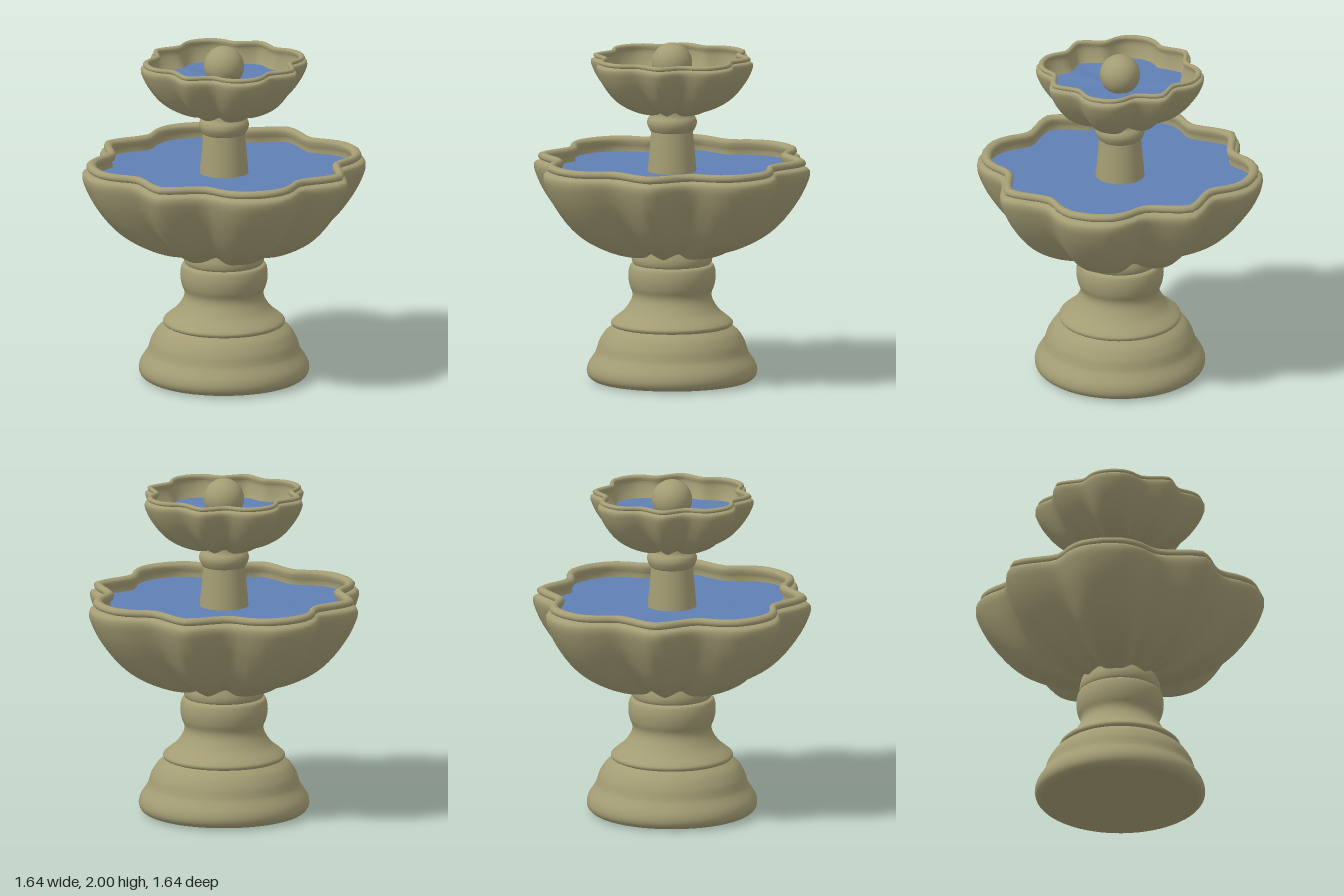
import * as THREE from 'three';

const stone = new THREE.MeshStandardMaterial({ color: 0xa39c74 });
const water = new THREE.MeshStandardMaterial({ color: 0x5f7fb3 });

// Petal outline over one eighth turn: [degrees from axis, radius relative to the axis petal]
const EIGHTH = [[0, 1], [4, 0.975], [8, 0.94], [12, 0.905], [16, 0.88], [20, 0.872], [24, 0.9], [28, 0.95],
  [32, 0.99], [36, 1.018], [40, 1.028], [45, 1.035]];
const OUTLINE = [];
for (let q = 0; q < 4; q++) {
  EIGHTH.forEach(([a, s]) => OUTLINE.push([q * 90 + a, s]));
  EIGHTH.slice(1, -1).reverse().forEach(([a, s]) => OUTLINE.push([q * 90 + 90 - a, s]));
}

function mesh(name, geometry, material = stone) {
  const m = new THREE.Mesh(geometry, material);
  m.name = name;
  return m;
}

// Smooth a few profile points into a denser curve
function smooth(points, n) {
  return new THREE.SplineCurve(points.map(p => new THREE.Vector2(...p))).getPoints(n);
}

// Sweep a profile of (radius, height) round the petal outline
function petalLoft(profile) {
  const pos = [], idx = [], n = OUTLINE.length;
  for (const p of profile) {
    const low = THREE.MathUtils.clamp((1.25 - p.y) / 0.5, 0, 1);
    for (const [deg, s] of OUTLINE) {
      const a = THREE.MathUtils.degToRad(deg);
      const r = p.x * Math.pow(s, 1 + 0.3 * low);
      // grooves rise a little towards the foot of the bowl
      pos.push(Math.sin(a) * r, p.y + 0.22 * low * Math.max(0, 1 - s), Math.cos(a) * r);
    }
  }
  for (let i = 0; i < profile.length - 1; i++) {
    for (let j = 0; j < n; j++) {
      const k = (j + 1) % n, a = i * n + j, b = i * n + k, c = a + n, d = b + n;
      idx.push(a, b, c, b, d, c);
    }
  }
  const g = new THREE.BufferGeometry();
  g.setAttribute('position', new THREE.Float32BufferAttribute(pos, 3));
  g.setIndex(idx);
  g.computeVertexNormals();
  return g;
}

function lathe(name, points, n) {
  return mesh(name, new THREE.LatheGeometry(smooth(points, n), 64));
}

// Scalloped bowl with rim, inner basin and water
function bowl(name, waterRadius, waterHeight) {
  const g = new THREE.Group();
  g.name = name;
  g.add(mesh('bowlShell', petalLoft(smooth([[0.1, 0.752], [0.22, 0.75], [0.33, 0.765], [0.45, 0.81], [0.57, 0.88],
    [0.67, 0.975], [0.76, 1.1], [0.808, 1.2], [0.82, 1.25], [0.81, 1.277], [0.775, 1.288]], 30))));
  g.add(mesh('bowlRim', petalLoft(smooth([[0.765, 1.284], [0.788, 1.292], [0.796, 1.308], [0.787, 1.325],
    [0.765, 1.331], [0.745, 1.322], [0.738, 1.305], [0.745, 1.28]], 14))));
  g.add(mesh('bowlBasin', petalLoft(smooth([[0.75, 1.29], [0.765, 1.24], [0.72, 1.1], [0.6, 0.97],
    [0.3, 0.86], [0, 0.84]], 14))));
  g.add(mesh('bowlWater', petalLoft([new THREE.Vector2(waterRadius, waterHeight),
    new THREE.Vector2(0, waterHeight)]), water));
  return g;
}

export function createModel() {
  const fountain = new THREE.Group();
  fountain.name = 'fountain';

  // Pedestal: flared foot, stepped shoulder and waisted neck
  fountain.add(lathe('foot', [[0, 0], [0.2, 0], [0.42, 0.003], [0.475, 0.015], [0.498, 0.05], [0.49, 0.1],
    [0.452, 0.16], [0.44, 0.19], [0.425, 0.235], [0.39, 0.29], [0.345, 0.325]], 44));
  fountain.add(lathe('shoulder', [[0.335, 0.322], [0.352, 0.33], [0.356, 0.348], [0.335, 0.37], [0.28, 0.415],
    [0.24, 0.475], [0.232, 0.52], [0.248, 0.565], [0.256, 0.62], [0.25, 0.67], [0.235, 0.69], [0.2, 0.692]], 40));
  fountain.add(lathe('collar', [[0.2, 0.69], [0.228, 0.695], [0.236, 0.73], [0.228, 0.77], [0.215, 0.81]], 14));

  // Large bowl
  fountain.add(bowl('lowerBowl', 0.757, 1.24));

  // Column between the bowls
  fountain.add(mesh('column', new THREE.CylinderGeometry(0.122, 0.157, 0.4, 64).translate(0, 1.28, 0)));
  fountain.add(lathe('columnCapital', [[0.118, 1.475], [0.13, 1.485], [0.145, 1.52], [0.142, 1.55],
    [0.124, 1.578], [0.12, 1.62]], 20));

  // Small bowl is a scaled copy of the large one
  const upper = bowl('upperBowl', 0.722, 1.1);
  upper.scale.setScalar(0.588);
  upper.position.y = 1.585 - 0.75 * 0.588;
  fountain.add(upper);

  // Finial ball
  fountain.add(mesh('finialBall', new THREE.SphereGeometry(0.118, 40, 28).translate(0, 1.882, 0)));
  return fountain;
}
